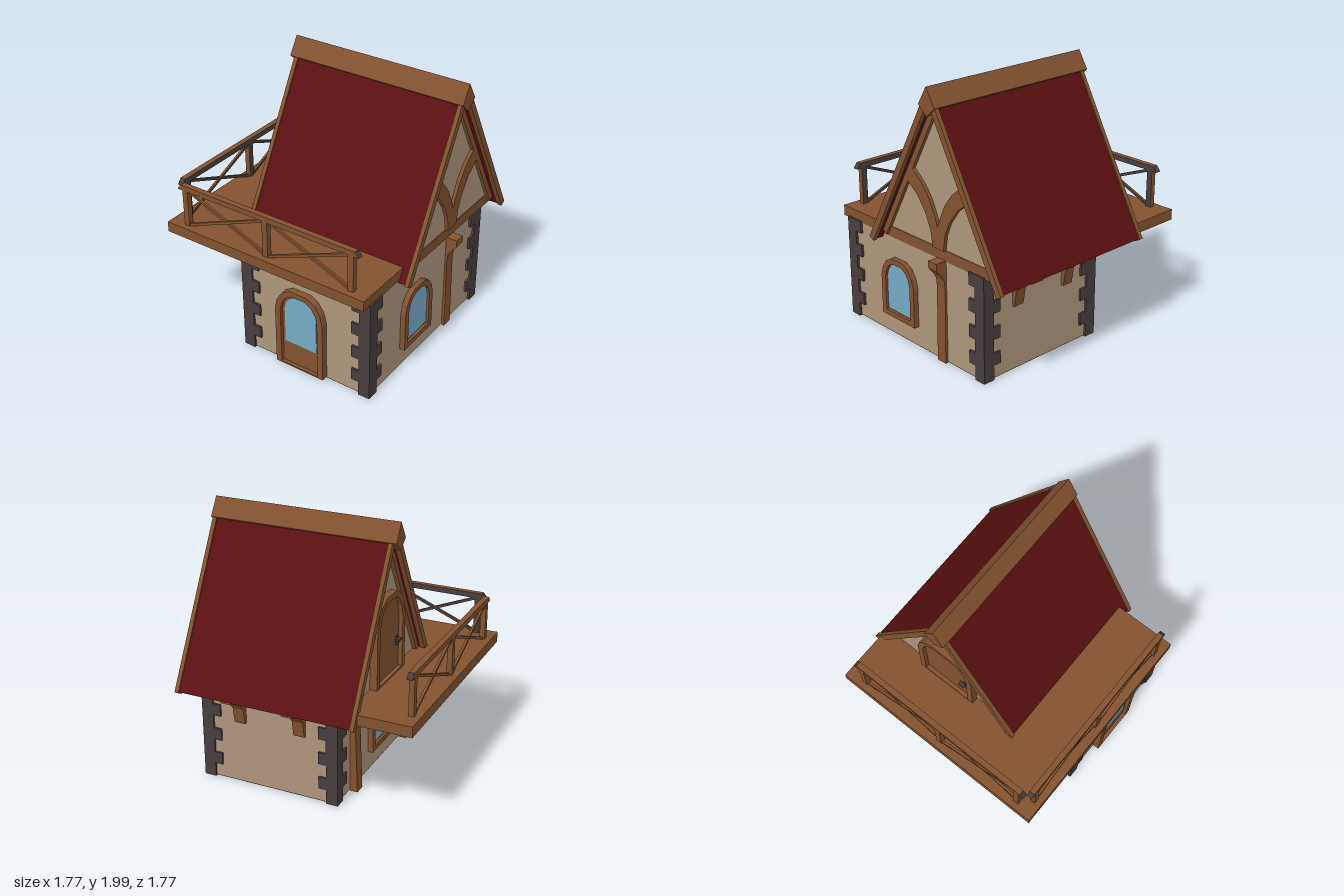
import * as THREE from 'three';

const mat = (name, color) => {
  const m = new THREE.MeshStandardMaterial({ color });
  m.name = name;
  return m;
};

export function createModel() {
  const wood = mat('wood', 0x83522f);
  const plaster = mat('plaster', 0xae957c);
  const tiles = mat('roofTiles', 0x5c1012);
  const stone = mat('stone', 0x473d3e);
  const glass = mat('glass', 0x74abc5);

  const model = new THREE.Group();
  model.name = 'cottage';

  const add = (parent, name, geo, material) => {
    const mesh = new THREE.Mesh(geo, material);
    mesh.name = name;
    parent.add(mesh);
    return mesh;
  };
  // Box given by its lower and upper corners
  const box = (parent, name, a, b, material) => {
    const mesh = add(parent, name, new THREE.BoxGeometry(b[0] - a[0], b[1] - a[1], b[2] - a[2]), material);
    mesh.position.set((a[0] + b[0]) / 2, (a[1] + b[1]) / 2, (a[2] + b[2]) / 2);
    return mesh;
  };
  const shapeOf = (pts) => new THREE.Shape(pts.map(([x, y]) => new THREE.Vector2(x, y)));
  const extrude = (shape, depth) => new THREE.ExtrudeGeometry(shape, { depth, bevelEnabled: false });
  const mirrored = (pts) => pts.map(([x, y]) => [-x, y]).reverse();

  // Walls and base
  box(model, 'walls', [-0.26, 0.02, -0.63], [0.785, 0.79, 0.815], plaster);
  box(model, 'base', [-0.255, 0.012, -0.625], [0.78, 0.02, 0.81], stone);

  // Corner stones: narrow column with wider courses
  for (const sx of [-1, 1]) {
    for (const sz of [-1, 1]) {
      const corner = new THREE.Group();
      corner.name = 'cornerStones';
      corner.position.set(sx > 0 ? 0.803 : -0.275, 0, sz > 0 ? 0.83 : -0.645);
      const block = (w, y0, y1) => {
        const m = add(corner, 'cornerStone', new THREE.BoxGeometry(w, y1 - y0, w), stone);
        m.position.set(-sx * w / 2, (y0 + y1) / 2, -sz * w / 2);
      };
      block(0.09, 0.01, 0.79);
      for (const y of [0.12, 0.315, 0.51, 0.7]) block(0.15, y, y + 0.092);
      model.add(corner);
    }
  }

  // Deck around the upper floor
  box(model, 'deck', [-0.89, 0.78, -0.82], [-0.48, 0.86, 0.89], wood);
  box(model, 'deck', [-0.48, 0.78, -0.78], [0.79, 0.86, 0.89], wood);

  // Profiles across the house, extruded along x from x0 to x1
  const across = (name, pts, x0, x1, material) => {
    const mesh = add(model, name, extrude(shapeOf(pts), x1 - x0), material);
    mesh.rotation.y = Math.PI / 2;
    mesh.position.set(x0, 0, -0.2);
    return mesh;
  };
  const pitch = 1.82;
  const chevron = (top, drop, foot) => {
    const side = [[foot, top - pitch * foot], [foot - drop * 0.423, top - pitch * foot - drop * 0.233]];
    return [[0, top], ...side, [0, top - drop], ...mirrored(side)];
  };

  // Roof, barge boards and ridge
  across('roof', chevron(1.98, 0.07, 0.668), -0.475, 0.845, tiles);
  for (const x of [-0.5, 0.84]) across('bargeBoard', chevron(2.0, 0.1, 0.68), x, x + 0.032, wood);
  across('ridgeCap', [[0, 2], [0.08, 1.87], [0, 1.8], [-0.08, 1.87]], -0.53, 0.882, wood);

  // Gables with inner trim
  across('gableWall', [[-0.57, 0.85], [0.57, 0.85], [0, 1.9]], -0.42, 0.785, plaster);
  for (const x of [-0.45, 0.78]) across('gableTrim', chevron(1.91, 0.09, 0.6), x, x + 0.03, wood);

  // Forked timber on the right gable
  const fork = [[0.055, 0.86], [0.075, 0.98], [0.12, 1.08], [0.2, 1.19], [0.32, 1.28],
    [0.265, 1.385], [0.15, 1.29], [0.08, 1.2], [0.03, 1.1]];
  across('forkedTimber', [...fork, [0, 1.02], ...mirrored(fork)], 0.78, 0.81, wood);

  // Arched outline, low-poly
  const arch = (w, y0, y1) => {
    const side = [[w, y0], [w, y1 - w * 0.9], [w * 0.9, y1 - w * 0.5], [w * 0.68, y1 - w * 0.18], [w * 0.36, y1]];
    return [...side, ...mirrored(side)];
  };
  // Arched opening facing local +z
  const opening = (name, x, y, z, turn, w, h, sill, depth) => {
    const g = new THREE.Group();
    g.name = name;
    g.position.set(x, y, z);
    g.rotation.y = turn;
    const outline = shapeOf(arch(w, 0, h));
    outline.holes.push(new THREE.Path(arch(w - 0.045, sill, h - 0.04).map(([a, b]) => new THREE.Vector2(a, b))));
    add(g, 'frame', extrude(outline, depth), wood);
    add(g, 'panel', extrude(shapeOf(arch(w - 0.04, sill - 0.005, h - 0.035)), depth * 0.5), wood);
    model.add(g);
    return g;
  };
  const pane = (g, w, y0, y1, z) => {
    add(g, 'pane', extrude(shapeOf(arch(w, y0, y1)), 0.005), glass).position.z = z;
  };
  pane(opening('frontDoor', 0.24, 0.025, 0.81, 0, 0.2, 0.645, 0.01, 0.055), 0.133, 0.19, 0.587, 0.028);
  pane(opening('rightWindow', 0.78, 0.17, 0.24, Math.PI / 2, 0.18, 0.46, 0.04, 0.045), 0.132, 0.05, 0.417, 0.023);
  pane(opening('leftWindow', -0.255, 0.17, 0.08, -Math.PI / 2, 0.18, 0.46, 0.04, 0.045), 0.132, 0.05, 0.417, 0.023);

  // Door onto the deck, with handle
  const deckDoor = opening('deckDoor', -0.415, 0.86, -0.2, -Math.PI / 2, 0.24, 0.62, 0.01, 0.06);
  const plate = add(deckDoor, 'handlePlate', new THREE.BoxGeometry(0.03, 0.07, 0.01), stone);
  plate.position.set(0.16, 0.22, 0.034);
  const handle = add(deckDoor, 'handle', new THREE.BoxGeometry(0.05, 0.015, 0.03), stone);
  handle.position.set(0.145, 0.23, 0.05);

  // Supports under the deck and eaves, reaching along local +x
  const tall = [[0, 0.01], [0.06, 0.01], [0.04, 0.58], [0.06, 0.64], [0.12, 0.68], [0.24, 0.73], [0.24, 0.785], [0, 0.785]];
  const short = [[0, 0.5], [0.02, 0.5], [0.04, 0.62], [0.1, 0.69], [0.2, 0.73], [0.2, 0.785], [0, 0.785]];
  const bracket = (name, pts, x, z, turn, reach = 1) => {
    const geo = extrude(shapeOf(pts.map(([a, b]) => [a * reach, b])), 0.085);
    geo.translate(0, 0, -0.0425);
    const mesh = add(model, name, geo, wood);
    mesh.position.set(x, 0, z);
    mesh.rotation.y = turn;
  };
  for (const z of [0.53, -0.37]) bracket('leftSupport', tall, -0.26, z, Math.PI);
  bracket('rightSupport', tall, 0.785, -0.21, 0, 0.36);
  for (const x of [0.02, 0.49]) bracket('eavesBracket', short, x, -0.63, Math.PI / 2);

  // Railing facing local +z, its inner faces dark
  const dark = [wood, wood, wood, wood, wood, stone];
  const railing = (name, x, z, turn) => {
    const g = new THREE.Group();
    g.name = name;
    g.position.set(x, 0, z);
    g.rotation.y = turn;
    const rail = new THREE.BoxGeometry(1.53, 0.04, 0.042);
    const p = rail.attributes.position;
    for (let i = 0; i < p.count; i++) if (p.getY(i) > 0) p.setX(i, p.getX(i) * 0.96);
    rail.computeVertexNormals();
    add(g, 'topRail', rail, [stone, stone, wood, wood, wood, stone]).position.y = 1.16;
    for (const px of [-0.7, 0, 0.7]) box(g, 'railPost', [px - 0.022, 0.85, -0.02], [px + 0.022, 1.145, 0.02], dark);
    for (const cx of [-0.35, 0.35]) {
      for (const s of [-1, 1]) {
        const brace = add(g, 'railBrace', new THREE.BoxGeometry(0.71, 0.02, 0.018), dark);
        brace.position.set(cx, 1.0, s * 0.004);
        brace.rotation.z = s * Math.atan2(0.27, 0.66);
      }
    }
    model.add(g);
  };
  railing('frontRailing', -0.045, 0.825, 0);
  railing('leftRailing', -0.825, 0.035, -Math.PI / 2);

  return model;
}
